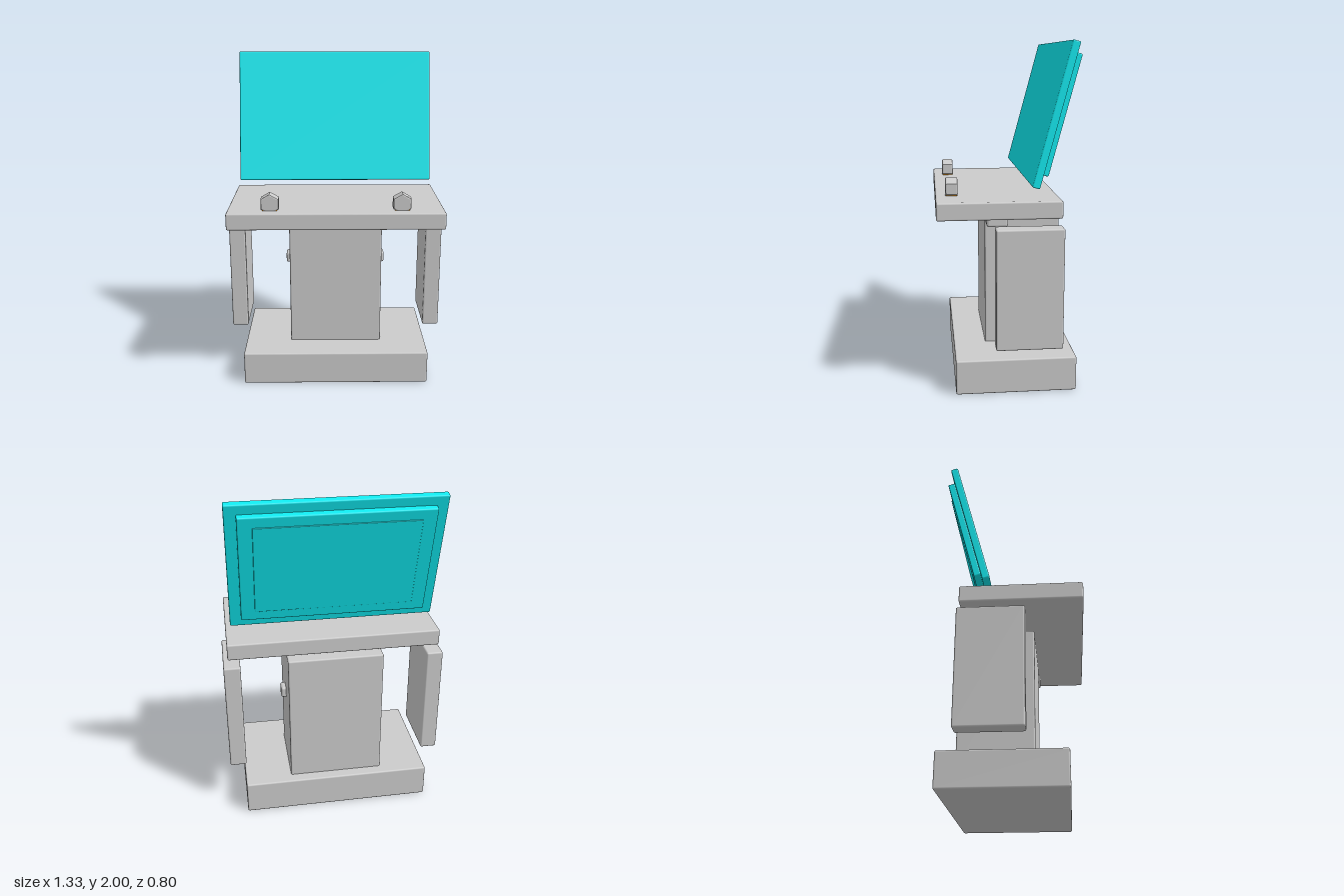
import * as THREE from 'three';
import { RoundedBoxGeometry } from 'three/addons/geometries/RoundedBoxGeometry.js';

const grey = new THREE.MeshStandardMaterial({ color: 0xcccccc });
const cyan = new THREE.MeshStandardMaterial({ color: 0x10eaf0 });
const orange = new THREE.MeshStandardMaterial({ color: 0xe8961e });

// Box with softened edges, given by its size and centre
function box(parent, name, size, centre, material = grey, radius = 0.01) {
  const mesh = new THREE.Mesh(new RoundedBoxGeometry(...size, 2, radius), material);
  mesh.name = name;
  mesh.position.set(...centre);
  parent.add(mesh);
  return mesh;
}

// Six-sided prism along z, point upwards, with bevelled ends
function hexGeometry(radius, depth, bevel) {
  const r = radius - bevel * 1.155;
  const points = [];
  for (let i = 0; i < 6; i++) {
    const a = Math.PI / 2 + (i * Math.PI) / 3;
    points.push(new THREE.Vector2(r * Math.cos(a), r * Math.sin(a)));
  }
  const geometry = new THREE.ExtrudeGeometry(new THREE.Shape(points), {
    depth: depth - 2 * bevel, bevelThickness: bevel, bevelSize: bevel, bevelSegments: 2,
  });
  return geometry.center();
}

export function createModel() {
  const model = new THREE.Group();
  model.name = 'console';

  // Pedestal and table top
  box(model, 'base', [1.145, 0.205, 0.7], [0, 0.1025, -0.05]);
  box(model, 'column', [0.574, 0.84, 0.445], [0, 0.603, -0.1125]);
  box(model, 'tableTop', [1.27, 0.1, 0.695], [0, 1.09, 0.0525]);
  box(model, 'underTableBox', [0.12, 0.06, 0.12], [0.445, 1.0, 0.055], grey, 0.014);

  // Mirrored side panels, column knobs and table knobs
  const knobShape = hexGeometry(0.06, 0.07, 0.008);
  for (const [side, s] of [['left', 1], ['right', -1]]) {
    box(model, side + 'SidePanel', [0.1, 0.695, 0.38], [s * 0.613, 0.643, -0.113]);
    box(model, side + 'ColumnKnob', [0.06, 0.07, 0.08], [s * 0.287, 0.705, -0.115], grey, 0.014);

    const knob = new THREE.Mesh(knobShape, grey);
    knob.name = side + 'TableKnob';
    knob.position.set(s * 0.385, 1.18, 0.308);
    model.add(knob);
    box(model, side + 'KnobFoot', [0.086, 0.014, 0.064], [s * 0.385, 1.146, 0.308], orange, 0.002);
  }

  // Screen leaning back, with two stepped plates behind it
  const screen = new THREE.Group();
  screen.name = 'screen';
  screen.position.set(0, 1.6, -0.253);
  screen.rotation.x = -THREE.MathUtils.degToRad(15);
  box(screen, 'screenPanel', [1.21, 0.816, 0.044], [0, 0, 0], cyan, 0.008);
  box(screen, 'screenBack', [1.08, 0.69, 0.042], [0, 0.008, -0.041], cyan, 0.008);
  box(screen, 'screenBackPlate', [0.92, 0.565, 0.02], [0, 0.008, -0.058], cyan, 0.004);
  model.add(screen);

  return model;
}
